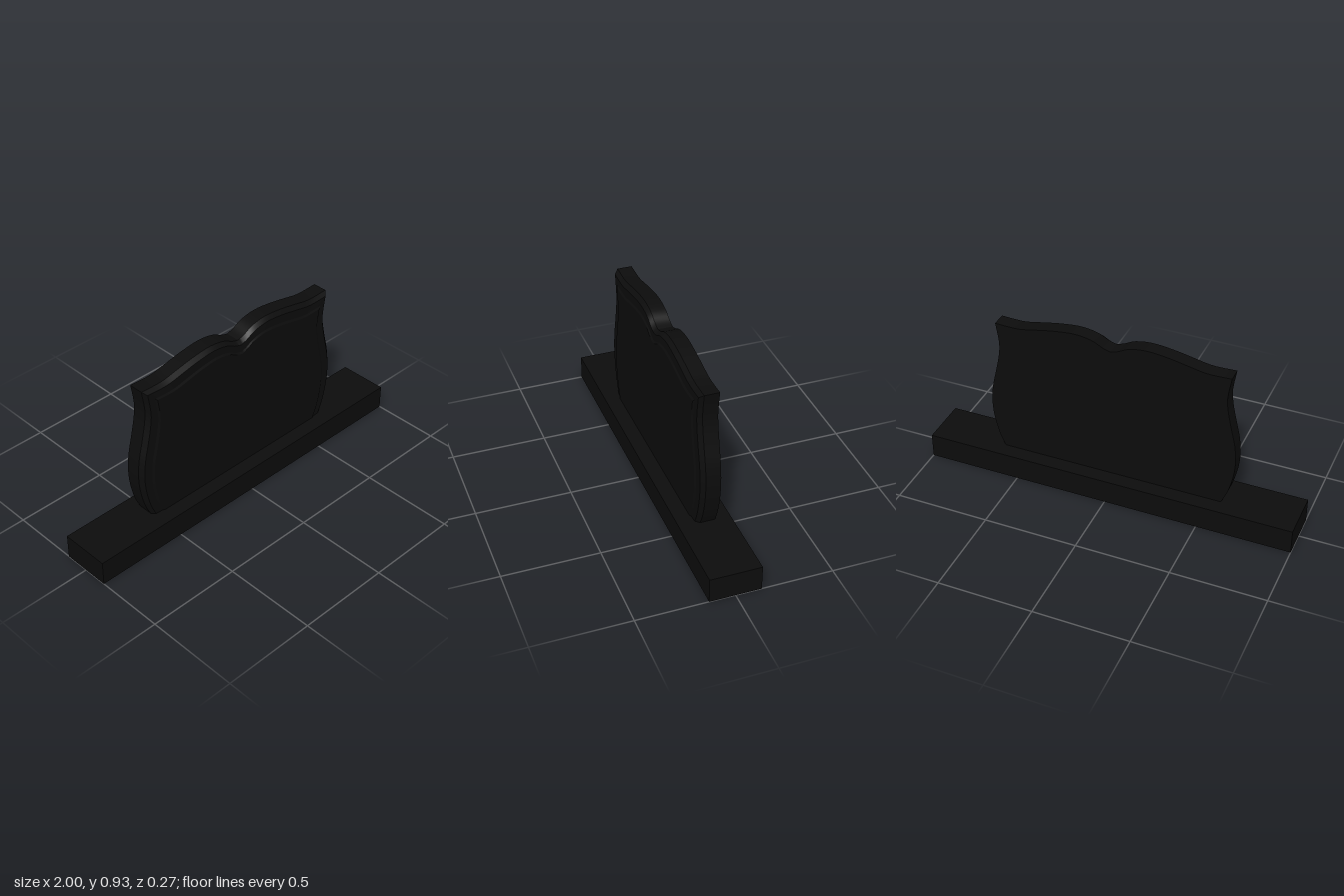
import * as THREE from 'three';
import { toCreasedNormals } from 'three/addons/utils/BufferGeometryUtils.js';

const BASE_HEIGHT = 0.133;
const TOP = 0.935;

// Smooth curve through a few points, as a list of 2D points
function smooth(points, steps) {
  return new THREE.SplineCurve(points.map(([x, y]) => new THREE.Vector2(x, y))).getPoints(steps);
}

// Whole outline, counter-clockwise from the lower corner on the +x side
function tabletOutline() {
  const side = smooth([[0.6, BASE_HEIGHT], [0.63, 0.2], [0.655, 0.3], [0.664, 0.4], [0.655, 0.5],
    [0.632, 0.6], [0.611, 0.7], [0.605, 0.78], [0.621, 0.89]], 24);
  const crest = smooth([[0.621, 0.89], [0.5, 0.887], [0.4, 0.905], [0.3, 0.924], [0.19, TOP],
    [0.1, 0.922], [0.04, 0.893], [0, 0.881]], 24);
  const half = [...side, ...crest.slice(1)];
  const mirrored = half.slice(0, -1).reverse().map((p) => new THREE.Vector2(-p.x, p.y));
  return [...half, ...mirrored];
}

// Tablet skinned from the back face, over the front chamfer, to the raised front panel
function tabletGeometry() {
  const outline = tabletOutline();
  const sections = [[0, -0.052], [0, 0.025], [0.02, 0.046], [0.062, 0.048], [0.072, 0.054]]; // inset, z
  const rings = sections.map(([inset, z]) => outline.map((p) => new THREE.Vector3(
    p.x * (1 - inset / 0.62),
    BASE_HEIGHT + (p.y - BASE_HEIGHT) * (1 - inset / (TOP - BASE_HEIGHT)),
    z)));
  const positions = [];
  const face = (...corners) => corners.forEach((v) => positions.push(v.x, v.y, v.z));

  for (let k = 0; k < rings.length - 1; k++) {
    const near = rings[k], far = rings[k + 1];
    for (let i = 0; i < outline.length; i++) {
      const j = (i + 1) % outline.length;
      face(near[i], near[j], far[j]);
      face(near[i], far[j], far[i]);
    }
  }
  const back = rings[0], front = rings[rings.length - 1];
  for (const [a, b, c] of THREE.ShapeUtils.triangulateShape(outline, [])) {
    face(front[a], front[b], front[c]);
    face(back[a], back[c], back[b]);
  }
  const geometry = new THREE.BufferGeometry();
  geometry.setAttribute('position', new THREE.Float32BufferAttribute(positions, 3));
  return toCreasedNormals(geometry, 0.4);
}

export function createModel() {
  const group = new THREE.Group();
  group.name = 'headstone';
  const granite = new THREE.MeshStandardMaterial({ color: 0x0c0c0c });
  granite.name = 'black granite';

  // Long plinth
  const base = new THREE.Mesh(new THREE.BoxGeometry(2, BASE_HEIGHT, 0.266), granite);
  base.name = 'base';
  base.position.y = BASE_HEIGHT / 2;

  // Upright stone
  const tablet = new THREE.Mesh(tabletGeometry(), granite);
  tablet.name = 'tablet';

  group.add(base, tablet);
  return group;
}
